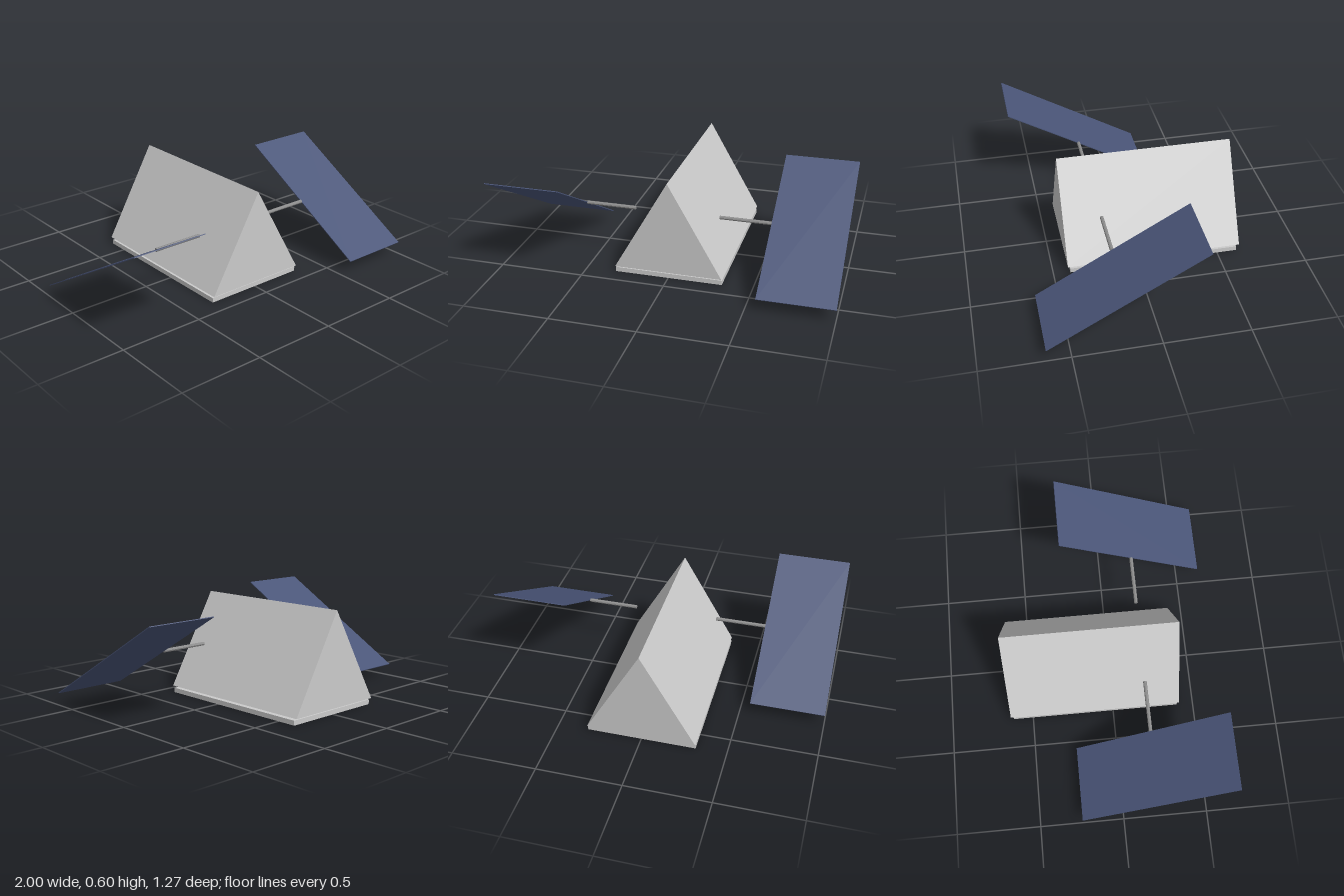
import * as THREE from 'three';

export function createModel() {
  const group = new THREE.Group();
  const hull = new THREE.MeshStandardMaterial({ color: 0xcacaca });
  hull.name = 'light grey hull';
  const metal = new THREE.MeshStandardMaterial({ color: 0x8c8c8c, flatShading: true });
  metal.name = 'mid grey metal';
  const solar = new THREE.MeshStandardMaterial({ color: 0x4a5578 });
  solar.name = 'slate blue panel';

  const add = (name, geometry, material, x, y, z) => {
    const mesh = new THREE.Mesh(geometry, material);
    mesh.name = name;
    mesh.position.set(x, y, z);
    group.add(mesh);
    return mesh;
  };

  // Triangular prism body
  const triangle = new THREE.Shape([
    new THREE.Vector2(-0.32, 0.04),
    new THREE.Vector2(0.32, 0.04),
    new THREE.Vector2(0, 0.6),
  ]);
  const prism = new THREE.ExtrudeGeometry(triangle, { depth: 1.05, bevelEnabled: false });
  add('prismBody', prism, hull, 0, 0, -0.637);

  // Thin plate hovering just under the body
  add('basePlate', new THREE.BoxGeometry(0.64, 0.028, 1.02), hull, 0, 0.014, -0.11);

  // Arms and panels, the two panels tilted opposite ways
  const axisY = 0.328, axisZ = 0.195;
  for (const [side, label] of [[1, 'left'], [-1, 'right']]) {
    const arm = add(label + 'Arm', new THREE.CylinderGeometry(0.011, 0.011, 0.305, 8), metal,
      side * 0.4075, axisY, axisZ);
    arm.rotation.z = Math.PI / 2;
    const panel = add(label + 'Panel', new THREE.BoxGeometry(0.44, 0.005, 1.016), solar,
      side * 0.78, axisY, axisZ);
    panel.rotation.x = side * Math.PI / 6;
  }
  return group;
}
